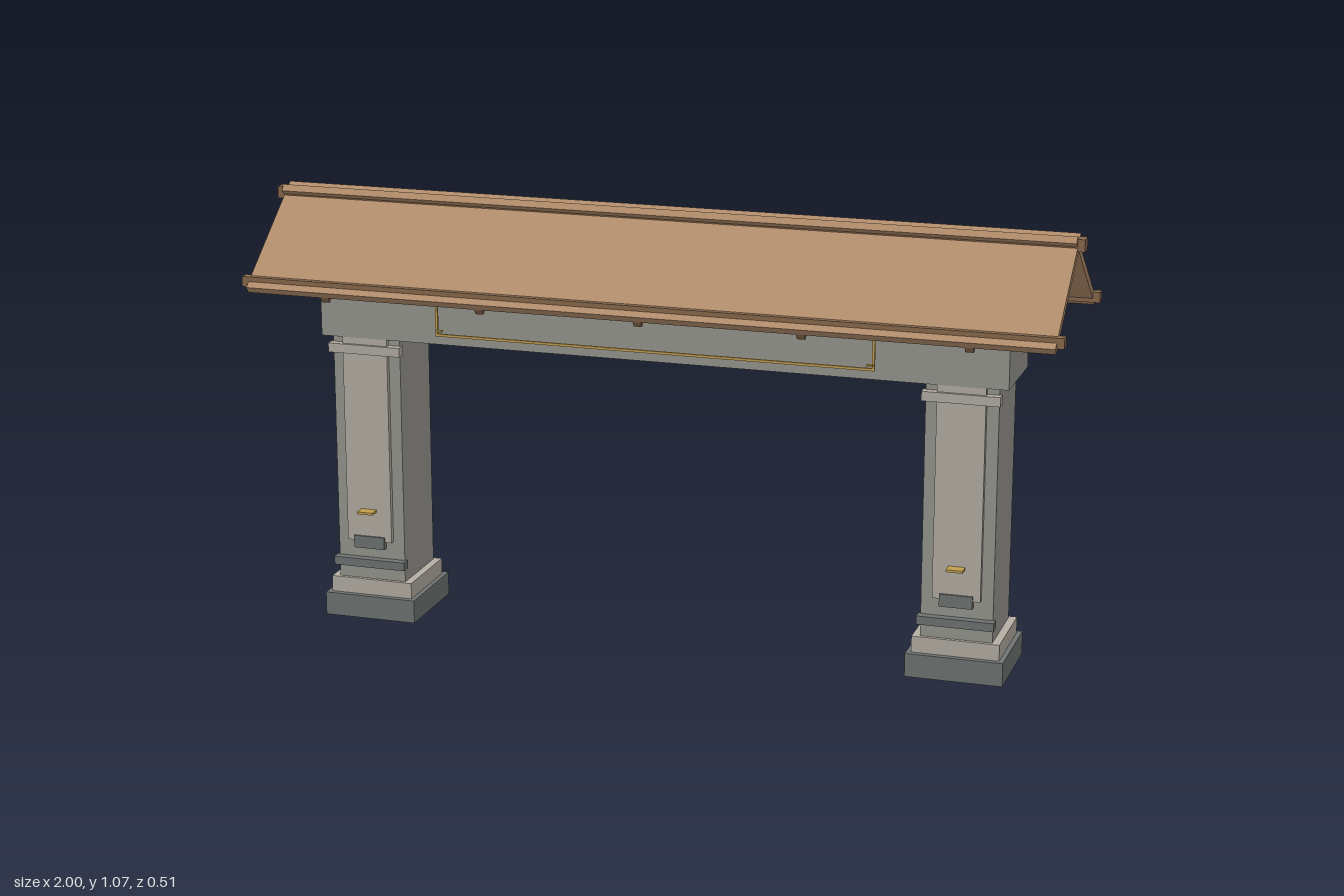
import * as THREE from 'three';

const mat = (color) => new THREE.MeshStandardMaterial({ color });
const STONE = mat(0x989790), PALE = mat(0xb5aea4), DARK = mat(0x6f7472);
const TILE = mat(0xb28d6b), WOOD = mat(0x8a6a4d), GOLD = mat(0xc4a050);

// box given by its min/max extents on each axis
function block(parent, name, material, [x0, x1], [y0, y1], [z0, z1]) {
  const mesh = new THREE.Mesh(new THREE.BoxGeometry(x1 - x0, y1 - y0, z1 - z0), material);
  mesh.position.set((x0 + x1) / 2, (y0 + y1) / 2, (z0 + z1) / 2);
  mesh.name = name;
  parent.add(mesh);
  return mesh;
}
const sym = (half) => [-half, half];

// stone pillar with stepped foot, front panel, bands and a small handle
function pillar() {
  const g = new THREE.Group();
  block(g, 'plinth', DARK, sym(0.118), [0, 0.058], sym(0.118));
  block(g, 'plinthStep', PALE, sym(0.106), [0.058, 0.098], sym(0.104));
  block(g, 'shaft', STONE, sym(0.087), [0.098, 0.72], sym(0.095));
  block(g, 'frontPanel', PALE, sym(0.058), [0.2, 0.72], [0.09, 0.108]);
  block(g, 'capBand', PALE, sym(0.093), [0.68, 0.703], [0.09, 0.115]);
  block(g, 'lowerBand', DARK, sym(0.093), [0.133, 0.154], [0.09, 0.116]);
  block(g, 'panelFoot', DARK, sym(0.04), [0.182, 0.213], [0.098, 0.113]);
  block(g, 'handle', GOLD, sym(0.02), [0.277, 0.283], [0.105, 0.137]);
  return g;
}

// one roof slope: local +z runs down the slope, y = 0 is its top surface
function roofSlope() {
  const g = new THREE.Group();
  const slope = new THREE.Group();
  slope.position.y = 1.055;
  slope.rotation.x = 0.645;
  block(slope, 'roofBoard', TILE, sym(0.983), [-0.018, 0], [-0.025, 0.319]);
  for (let i = -2; i <= 2; i++) {
    const x = i * 0.3925;
    block(slope, 'rafter', WOOD, [x - 0.01, x + 0.01], [-0.034, -0.018], [0, 0.319]);
  }
  g.add(slope);
  block(g, 'eavePole', WOOD, sym(1), [0.861, 0.886], [0.215, 0.24]);
  return g;
}

export function createModel() {
  const model = new THREE.Group();
  model.name = 'gateway';

  for (const side of [-1, 1]) {
    const p = pillar();
    p.name = side > 0 ? 'leftPillar' : 'rightPillar';
    p.position.x = side * 0.742;
    model.add(p);
  }

  block(model, 'lintel', STONE, sym(0.853), [0.72, 0.875], sym(0.11));

  // strip and dark brackets on the lintel front
  block(model, 'lintelStrip', PALE, sym(0.66), [0.835, 0.85], [0.105, 0.127]);
  for (const s of [-1, 1]) {
    block(model, 'bracket', DARK, [s * 0.63 - 0.03, s * 0.63 + 0.03], [0.839, 0.853], [0.108, 0.159]);
  }

  // thin hanging frame
  const frame = new THREE.Group();
  frame.name = 'hangingFrame';
  block(frame, 'frameBottom', GOLD, sym(0.543), [0.748, 0.754], [0.134, 0.14]);
  block(frame, 'frameTop', GOLD, sym(0.543), [0.832, 0.838], [0.12, 0.14]);
  for (const s of [-1, 1]) {
    block(frame, 'frameSide', GOLD, [s * 0.54 - 0.003, s * 0.54 + 0.003], [0.75, 0.836], [0.134, 0.14]);
    block(frame, 'frameHook', GOLD, [s * 0.532 - 0.008, s * 0.532 + 0.008], [0.76, 0.764], [0.137, 0.147]);
  }
  model.add(frame);

  // crossing slopes with a ridge pole cradled between them
  const roof = new THREE.Group();
  roof.name = 'roof';
  for (const turn of [0, Math.PI]) {
    const slope = roofSlope();
    slope.name = turn ? 'backSlope' : 'frontSlope';
    slope.rotation.y = turn;
    roof.add(slope);
  }
  block(roof, 'ridgePole', WOOD, sym(1), [1.034, 1.063], sym(0.017));
  model.add(roof);

  return model;
}
